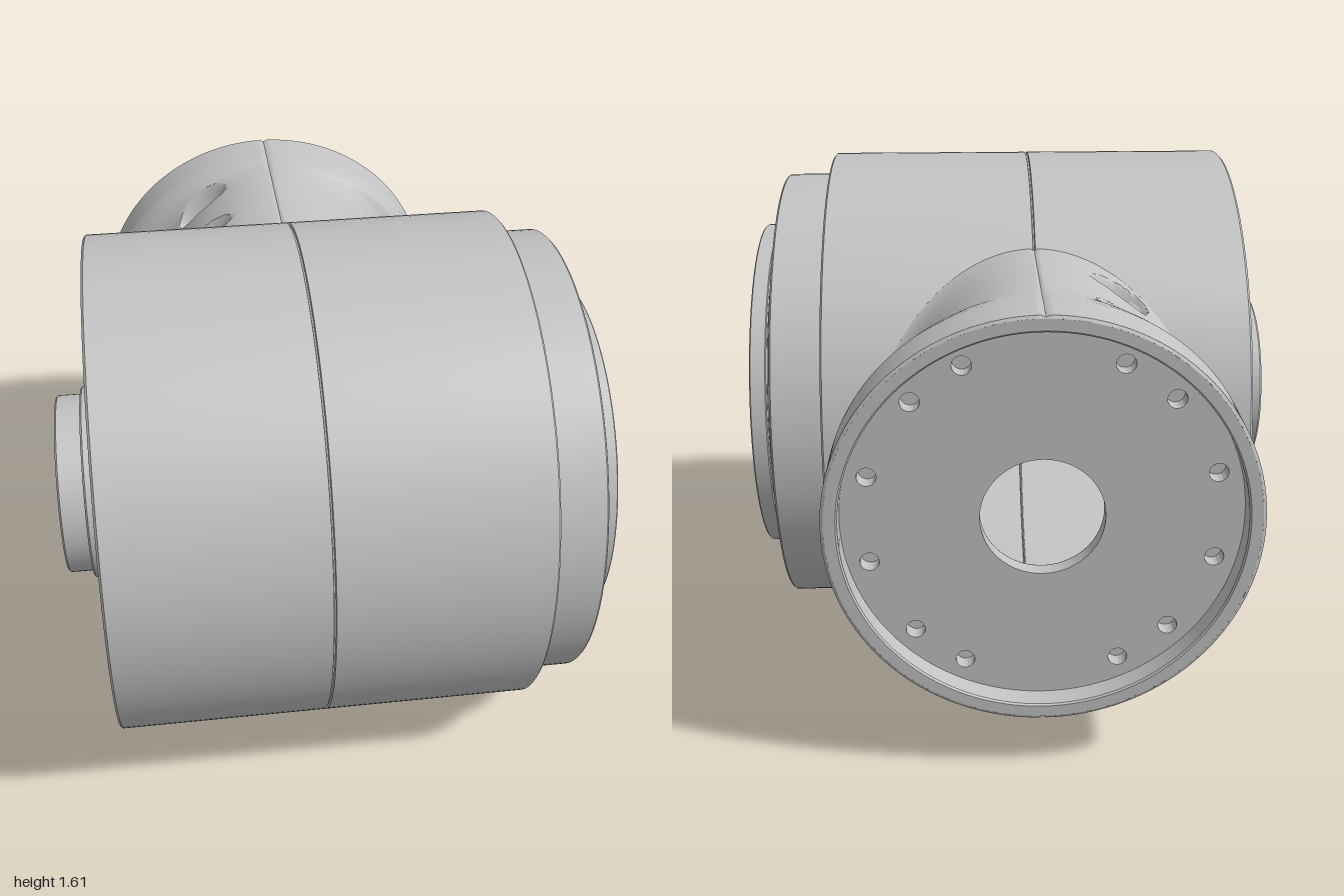
import * as THREE from 'three';
import { toCreasedNormals } from 'three/addons/utils/BufferGeometryUtils.js';

const metal = new THREE.MeshStandardMaterial({ color: 0xc2c2c2, side: THREE.DoubleSide });
metal.name = 'greyMetal';

function add(group, name, geometry) {
  const mesh = new THREE.Mesh(geometry, metal);
  mesh.name = name;
  group.add(mesh);
}

// Turned part around z; profile points are [radius, z]
function turned(points, segments = 128) {
  const g = new THREE.LatheGeometry(points.map(p => new THREE.Vector2(...p)), segments);
  g.rotateX(Math.PI / 2);
  return toCreasedNormals(g, 0.5);
}

// Flat round plate ending at z = top, drilled with holes [x, y, radius]
function plate(radius, holes, top, depth) {
  const shape = new THREE.Shape().absarc(0, 0, radius, 0, Math.PI * 2);
  for (const [x, y, r] of holes) shape.holes.push(new THREE.Path().absarc(x, y, r, 0, Math.PI * 2, true));
  const g = new THREE.ExtrudeGeometry(shape, { depth, bevelEnabled: false, curveSegments: 48 });
  g.translate(0, 0, top - depth);
  return toCreasedNormals(g, 0.5);
}

function ring(inner, outer, z) {
  const g = new THREE.RingGeometry(inner, outer, 96);
  g.translate(0, 0, z);
  return g;
}

const polar = (r, degrees, size) => [
  r * Math.cos(degrees * Math.PI / 180), r * Math.sin(degrees * Math.PI / 180), size];

// Round housing shell, opened underneath the neck so the inside connects
function housingGeometry() {
  const profile = [[0.8, -0.715], [0.807, -0.708]];
  for (let z = -0.66; z < -0.08; z += 0.04) profile.push([0.807, z]);
  profile.push([0.807, -0.062], [0.799, -0.06], [0.799, -0.056], [0.807, -0.054]);
  for (let z = -0.02; z < 0.57; z += 0.04) profile.push([0.807, z]);
  profile.push([0.807, 0.592], [0.8, 0.598], [0.7, 0.598]);
  const g = turned(profile, 160);
  const p = g.attributes.position, index = [];
  for (let i = 0; i < p.count; i += 3) {
    const mid = f => (f(i) + f(i + 1) + f(i + 2)) / 3;
    const x = mid(n => p.getX(n)), y = mid(n => p.getY(n)), z = mid(n => p.getZ(n));
    if (x < 0 || ((z + 0.058) / 0.44) ** 2 + (y / 0.57) ** 2 > 1) index.push(i, i + 1, i + 2);
  }
  g.setIndex(index);
  return g;
}

// Side neck: elliptical sections pinched at the sides, flaring into the round body
function neckGeometry() {
  const columns = 320, lowerRows = 44, sub = 6;
  const profile = [[0.69, 0.46, 0.623], [0.72, 0.466, 0.623], [0.75, 0.495, 0.623], [0.775, 0.54, 0.623],
    [0.79, 0.585, 0.623], [0.81, 0.61, 0.624], [0.84, 0.627, 0.627], [0.995, 0.627, 0.627], [1, 0.618, 0.618]];
  const rows = [];
  for (let k = 0; k < profile.length - 1; k++)
    for (let s = k ? 1 : 0; s <= sub; s++)
      rows.push(profile[k].map((v, n) => v + (profile[k + 1][n] - v) * s / sub));
  const positions = [], index = [];

  const put = (x, y, w, groove) => {
    // Oblong bolt pockets on top and underside
    for (const wc of [0.72, 0.485]) {
      const d = ((x - 0.25) / 0.088) ** 2 + ((w - wc) / 0.048) ** 2;
      if (d < 1) y -= Math.sign(y) * 0.1 * (1 - d);
    }
    positions.push(x, groove ? y * 0.99 : y, w);
  };
  const total = lowerRows + rows.length;
  for (let j = 0; j < total; j++) {
    for (let i = 0; i < columns; i++) {
      const t = i / columns * Math.PI * 2, c = Math.cos(t), sn = Math.sin(t);
      const groove = i === columns / 4 || i === columns * 3 / 4;
      if (j < lowerRows) {
        const s = 1 - j / lowerRows, y = 0.623 * sn;
        const foot = Math.sqrt(0.651 - y * y) - 0.201;
        put(c * (0.46 + 0.1 * (1 - Math.sqrt(1 - s * s))), y, 0.69 + (foot - 0.69) * s, groove);
      } else {
        const [w, rx, ry] = rows[j - lowerRows];
        put(c * rx, sn * ry, w, groove);
      }
      if (j < total - 1) {
        const n = (i + 1) % columns, a = j * columns + i, b = j * columns + n;
        index.push(a, b, b + columns, a, b + columns, a + columns);
      }
    }
  }
  const g = new THREE.BufferGeometry();
  g.setAttribute('position', new THREE.Float32BufferAttribute(positions, 3));
  g.setIndex(index);
  return toCreasedNormals(g, 0.7);
}

export function createModel() {
  const model = new THREE.Group();
  model.name = 'rotaryJoint';
  const side = (name, x, z, turn) => {
    const g = new THREE.Group();
    g.name = name;
    g.position.set(x, 0.808, z);
    g.rotation.y = turn;
    model.add(g);
    return g;
  };

  // Housing and output end, local z pointing to +x
  const output = side('outputSide', 0, 0.193, Math.PI / 2);
  add(output, 'housing', housingGeometry());
  add(output, 'flangeRim', turned([[0.736, 0.59], [0.736, 0.756], [0.73, 0.762]]));
  const bolts = [], boltCores = [];
  for (let k = 0; k < 32; k++) {
    bolts.push(polar(0.633, k * 11.25, 0.038));
    boltCores.push(polar(0.633, k * 11.25, 0.022));
  }
  add(output, 'flangeFace', plate(0.731, [[0, 0, 0.59], ...bolts], 0.762, 0.05));
  add(output, 'boltSeats', plate(0.73, [[0, 0, 0.5], ...boltCores], 0.712, 0.04));
  add(output, 'boltFloors', ring(0.5, 0.73, 0.668));
  add(output, 'outputDiscEdge', turned([[0.576, 0.7], [0.576, 0.755], [0.561, 0.761], [0.561, 0.79],
    [0.552, 0.792], [0.552, 0.796], [0.561, 0.798], [0.561, 0.844], [0.557, 0.848]]));
  const pins = [];
  for (let q = 0; q < 4; q++)
    [92.7, 81.2, 70, 47.3, 24.8].forEach((a, n) => pins.push(polar(0.51, a + q * 90, n === 1 ? 0.042 : 0.031)));
  add(output, 'outputDisc', plate(0.557, [[0, 0, 0.156], ...pins], 0.848, 0.04));
  add(output, 'pinFloors', ring(0.1, 0.55, 0.809));
  add(output, 'centreCap', plate(0.154, [], 0.838, 0.03));

  // Opposite end with hollow boss, local z pointing to -x
  const input = side('inputSide', 0, 0.193, -Math.PI / 2);
  const screws = [-90, 0, 90].map(a => polar(0.735, a, 0.036));
  add(input, 'endFace', plate(0.8, [[0, 0, 0.28], ...screws], 0.715, 0.08));
  add(input, 'screwFloors', ring(0.6, 0.79, 0.637));
  add(input, 'hollowBoss', turned([[0.316, 0.7], [0.316, 0.762], [0.31, 0.768], [0.292, 0.768],
    [0.292, 0.844], [0.286, 0.85], [0.25, 0.85], [0.245, 0.845], [0.245, -0.58]], 96));
  add(input, 'boreEnd', new THREE.CircleGeometry(0.245, 64).translate(0, 0, -0.58));

  // Side neck and mounting face, local z pointing to the back
  const back = side('neckSide', -0.058, 0, Math.PI);
  add(back, 'neck', neckGeometry());
  add(back, 'mountRim', turned([[0.618, 1], [0.584, 1], [0.579, 0.995], [0.579, 0.92]]));
  const mounts = [];
  for (const start of [0, 180])
    for (const a of [-64, -44, -15, 15, 44, 64]) mounts.push(polar(0.515, start + a, 0.028));
  add(back, 'mountPlate', plate(0.579, [[0, 0, 0.18], ...mounts], 0.928, 0.05));
  add(back, 'mountHoleFloors', ring(0.18, 0.57, 0.877));
  return model;
}
